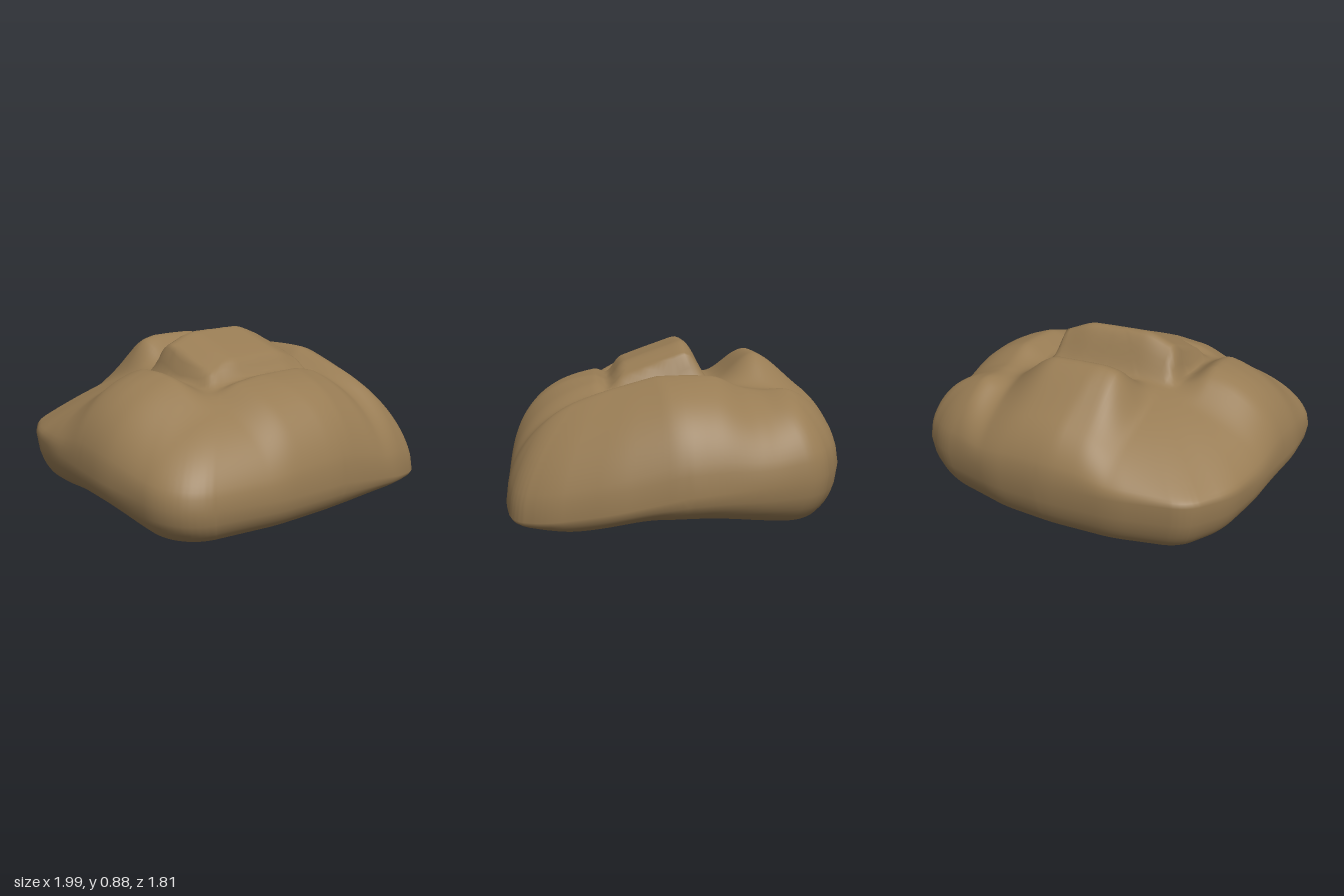
import * as THREE from 'three';
import { mergeVertices } from 'three/addons/utils/BufferGeometryUtils.js';

// Plan outline of the stone, as [x, z] going round from +x
const OUTLINE = [
  [1, 0], [0.95, 0.35], [0.86, 0.66], [0.75, 0.83], [0.54, 0.88], [0.1, 0.9], [-0.05, 0.9], [-0.42, 0.865],
  [-0.875, 0.755], [-0.975, 0.61], [-1, 0.2], [-0.96, -0.3], [-0.9, -0.58], [-0.76, -0.8], [-0.4, -0.89],
  [-0.02, -0.91], [0.3, -0.89], [0.7, -0.79], [0.89, -0.66], [0.95, -0.4],
];

const ramp = (a, b, x) => THREE.MathUtils.smoothstep(x, a, b);
const band = (a, b, w, x) => ramp(a - w, a + w, x) * (1 - ramp(b - w, b + w, x));
const cross = (a, b) => a[0] * b[1] - a[1] * b[0];

// Distance from the centre to the outline at an angle
function reach(angle) {
  const d = [Math.cos(angle), Math.sin(angle)];
  for (let i = 0; i < OUTLINE.length; i++) {
    const p = OUTLINE[i], q = OUTLINE[(i + 1) % OUTLINE.length];
    if (cross(p, d) >= -1e-9 && cross(d, q) >= -1e-9 && p[0] * d[0] + p[1] * d[1] > 0) {
      return cross(p, q) / cross(d, [q[0] - p[0], q[1] - p[1]]);
    }
  }
  return 1;
}

// The same with its corners softened
const softReach = angle => [-0.06, -0.03, 0, 0.03, 0.06].reduce((sum, o) => sum + reach(angle + o) / 5, 0);

// Height of the widest line, which dips at the front +x corner
function rimHeight(x, z) {
  const dip = x > 0 && z > 0 ? 0.18 * x * z : 0;
  return 0.26 - 0.07 * z - 0.02 * x - dip;
}

// How steeply each corner of the top falls away
function cornerSlope(x, z) {
  if (x * z > 0) return 0.45;
  return x > 0 ? 0.08 : 0.22;
}

// Top relief: four outer humps around a raised central block, with grooves between
function relief(x, z) {
  let y = 0.67;
  y += 0.045 * band(-0.38, 0.36, 0.1, x) * ramp(0.33, 0.43, z);                // front hump
  y += 0.17 * ramp(-0.38, -0.2, x) * (1 - ramp(0.13, 0.47, x))
    * (1 - ramp(-0.48, -0.22, z)) * (1 - 0.6 * ramp(0.46, 0.75, -z));          // back hump
  y += 0.1 * ramp(0.36, 0.55, x) * (1 - 0.6 * band(-0.5, -0.26, 0.1, z));      // +x hump
  y += 0.09 * (1 - ramp(-0.58, -0.42, x)) * band(-0.14, 0.36, 0.16, z);        // -x hump
  y -= cornerSlope(x, z) * Math.max(0, Math.abs(x * z) - 0.06);
  // Central block, sloping down to the front
  const top = 0.885 - 0.35 * Math.max(0, z + 0.04) - 0.06 * ramp(0.15, 0.38, Math.abs(x + 0.02));
  const side = band(-0.385, 0.345, 0.03, x) * ramp(-0.22, -0.06, z) * (1 - ramp(0.27, 0.38, z));
  return y + Math.max(0, top - y) * side;
}

function topHeight(x, z, rho) {
  const rim = rimHeight(x, z);
  return rim + (relief(x, z) - rim) * Math.pow(1 - rho ** 4, 0.56);
}

// Underside: arched from front to back, rounding up to the rim
function bottomHeight(x, z, rho) {
  const base = 0.08 - 0.075 * (z > 0 ? ramp(0.12, 0.58, z) : ramp(0, 0.7, -z));
  return base + (rimHeight(x, z) - base) * (1 - Math.pow(1 - rho ** 12, 0.6));
}

function stoneGeometry(n) {
  const position = [], index = [];
  const spread = t => t * (1.4 - 0.4 * Math.abs(t));
  [topHeight, bottomHeight].forEach((height, layer) => {
    const start = layer * (n + 1) ** 2;
    for (let j = 0; j <= n; j++) {
      for (let i = 0; i <= n; i++) {
        const u = spread(2 * i / n - 1), v = spread(2 * j / n - 1);
        const rho = Math.min(1, Math.max(Math.abs(u), Math.abs(v)));
        const angle = Math.atan2(v, u);
        const r = rho * softReach(angle);
        const x = Math.cos(angle) * r, z = Math.sin(angle) * r;
        position.push(x, height(x, z, rho), z);
        if (i < n && j < n) {
          const a = start + j * (n + 1) + i, b = a + 1, c = a + n + 1, e = c + 1;
          // Diagonals run outward so that the corners stay round
          const flip = (i < n / 2) === (j < n / 2);
          const tris = flip ? [a, c, e, a, e, b] : [a, c, b, b, c, e];
          index.push(...(layer ? tris.reverse() : tris));
        }
      }
    }
  });
  let geometry = new THREE.BufferGeometry();
  geometry.setAttribute('position', new THREE.Float32BufferAttribute(position, 3));
  geometry.setIndex(index);
  geometry = mergeVertices(geometry, 1e-5);
  geometry.computeVertexNormals();
  return geometry;
}

export function createModel() {
  const group = new THREE.Group();
  group.name = 'stone';
  const brown = new THREE.MeshStandardMaterial({ color: 0x987c54 });
  brown.name = 'earthBrown';
  const body = new THREE.Mesh(stoneGeometry(96), brown);
  body.name = 'stoneBody';
  group.add(body);
  return group;
}
